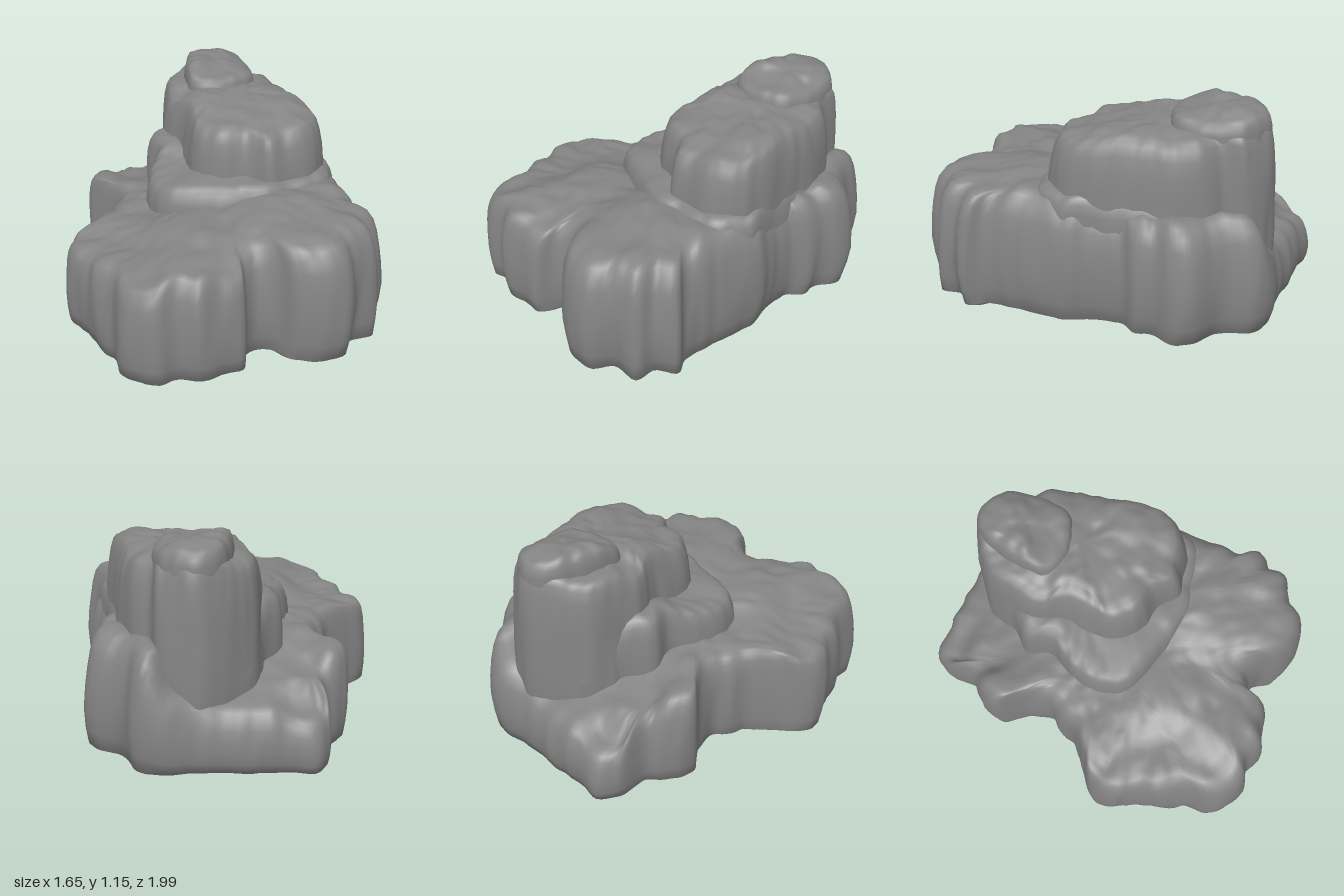
import * as THREE from 'three';

// Seeded smooth value noise, -1..1
function hash(x, y, z) {
  const s = Math.sin(x * 127.1 + y * 311.7 + z * 74.7) * 43758.5453;
  return (s - Math.floor(s)) * 2 - 1;
}
function noise(x, y, z) {
  const i = Math.floor(x), j = Math.floor(y), k = Math.floor(z);
  const f = (t) => t * t * (3 - 2 * t);
  const u = f(x - i), v = f(y - j), w = f(z - k);
  const mix = THREE.MathUtils.lerp;
  const row = (b, c) => mix(hash(i, b, c), hash(i + 1, b, c), u);
  return mix(mix(row(j, k), row(j + 1, k), v), mix(row(j, k + 1), row(j + 1, k + 1), v), w);
}

// Value blended from a few [x, z, value] spots
function blend(spots, x, z) {
  let sum = 0, total = 0;
  for (const [sx, sz, value] of spots) {
    const w = 1 / (((x - sx) ** 2 + (z - sz) ** 2) ** 1.6 + 1e-4);
    sum += w * value;
    total += w;
  }
  return sum / total;
}

// One rock tier: outline [x, z] seen from above, wall profile [height share, inset],
// weathered top, and spots saying how softly the upper edge is rounded
function rockTier(name, { outline, centre, spots, soft = [[0, 0, 1]], bottom, wall, sides, rough, topRings = 14 }) {
  const curve = new THREE.CatmullRomCurve3(
    outline.map(([x, z]) => new THREE.Vector3(x, 0, z)), true, 'centripetal');
  const rim = curve.getSpacedPoints(sides).slice(0, sides);
  const [cx, cz] = centre;
  const pos = [], index = [];
  const topInset = wall[wall.length - 1][1];

  // point on the ray from the centre to the rim, with vertical grooves
  const place = (p, inset, scale, y) => {
    const dx = p.x - cx, dz = p.z - cz, r = Math.hypot(dx, dz);
    const groove = rough * (noise(p.x * 8, y * 2, p.z * 8) + 0.5 * noise(p.x * 19, y * 4, p.z * 19));
    const s = (1 - (inset * blend(soft, p.x, p.z) - groove) / r) * scale;
    return [cx + dx * s, cz + dz * s];
  };
  const top = (x, z) => blend(spots, x, z)
    + 0.012 * noise(x * 7, 3, z * 11) + 0.008 * noise(x * 17, 9, z * 21);

  // underside
  for (const s of [0, 0.35, 0.7, 0.95]) {
    for (const p of rim) {
      const [x, z] = place(p, wall[0][1], s, bottom);
      pos.push(x, bottom + 0.025 * s ** 4 + 0.006 * s * noise(x * 4, 0, z * 4), z);
    }
  }
  // walls
  for (const [share, inset] of wall) {
    for (const p of rim) {
      const [ex, ez] = place(p, topInset, 1, 0.9);
      const y = THREE.MathUtils.lerp(bottom + 0.035, top(ex, ez), share);
      const [x, z] = place(p, inset, 1, y);
      pos.push(x, y, z);
    }
  }
  // top surface
  for (let k = 1; k <= topRings; k++) {
    for (const p of rim) {
      const [x, z] = place(p, topInset, 1 - k / topRings, 0.9);
      pos.push(x, top(x, z) + 0.01 * Math.min(1, k / 3), z);
    }
  }
  const rings = pos.length / 3 / sides;
  for (let j = 0; j < rings - 1; j++) {
    for (let i = 0; i < sides; i++) {
      const a = j * sides + i, b = j * sides + (i + 1) % sides;
      const c = a + sides, d = b + sides;
      if (j > 0) index.push(a, c, b);
      if (j < rings - 2) index.push(b, c, d);
    }
  }
  const geo = new THREE.BufferGeometry();
  geo.setAttribute('position', new THREE.Float32BufferAttribute(pos, 3));
  geo.setIndex(index);
  geo.computeVertexNormals();
  const mesh = new THREE.Mesh(geo, new THREE.MeshStandardMaterial({ color: 0x848484 }));
  mesh.name = name;
  return mesh;
}

export function createModel() {
  const group = new THREE.Group();
  group.name = 'rockFormation';

  // Broad lobed base, low at the back left
  group.add(rockTier('baseRock', {
    outline: [
      [-0.47, -0.95], [-0.3, -0.95], [-0.12, -0.96], [0.1, -0.97], [0.3, -0.99], [0.42, -0.93], [0.47, -0.84],
      [0.55, -0.77], [0.66, -0.7], [0.69, -0.6], [0.66, -0.5], [0.68, -0.4], [0.64, -0.31], [0.66, -0.2],
      [0.72, -0.05], [0.74, 0.1], [0.75, 0.3], [0.76, 0.45], [0.82, 0.53], [0.74, 0.62], [0.74, 0.73],
      [0.61, 0.8], [0.55, 0.9], [0.42, 0.93], [0.28, 0.89], [0.2, 0.8], [0.1, 0.78], [0.04, 0.82],
      [0.01, 0.92], [-0.12, 0.96], [-0.22, 0.99], [-0.32, 0.96], [-0.42, 0.99], [-0.52, 0.95], [-0.6, 0.88],
      [-0.62, 0.73], [-0.7, 0.63], [-0.73, 0.5], [-0.82, 0.35], [-0.8, 0.22], [-0.7, 0.13], [-0.6, 0.02],
      [-0.57, -0.08], [-0.51, -0.18], [-0.53, -0.28], [-0.6, -0.37], [-0.66, -0.45], [-0.62, -0.57],
      [-0.54, -0.67], [-0.54, -0.85],
    ],
    centre: [-0.08, 0],
    spots: [
      [-0.28, 0.84, 0.59], [-0.73, 0.35, 0.5], [-0.58, 0.5, 0.52], [-0.5, 0.8, 0.53], [0.02, 0.85, 0.56],
      [0.3, 0.75, 0.66], [0.6, 0.6, 0.68], [0.68, 0.1, 0.7], [-0.2, 0.45, 0.62], [0.3, 0.4, 0.69],
      [-0.5, 0, 0.53], [-0.42, -0.18, 0.54], [-0.6, -0.45, 0.52], [-0.38, -0.62, 0.43],
      [-0.45, -0.85, 0.31], [-0.1, -0.88, 0.37], [0.15, -0.93, 0.42], [0.38, -0.83, 0.67],
      [0.6, -0.57, 0.66], [0.1, -0.2, 0.65],
    ],
    soft: [
      [-0.78, 0.3, 0.45], [-0.6, 0.85, 0.65], [-0.3, 0.95, 0.75], [0.4, 0.9, 1], [0.75, 0.5, 1], [0.72, 0, 1],
      [0.65, -0.55, 1], [0.35, -0.95, 1], [-0.2, -0.95, 0.9], [-0.55, -0.85, 0.8], [-0.62, -0.45, 0.6],
    ],
    bottom: 0.006, sides: 260, rough: 0.016, topRings: 20,
    wall: [[0, 0.025], [0.15, 0.008], [0.32, 0], [0.5, 0.006], [0.66, 0.018], [0.8, 0.037],
      [0.9, 0.062], [0.97, 0.1], [1, 0.15]],
  }));

  // Ledge wrapping the foot of the tower
  group.add(rockTier('middleLedge', {
    outline: [
      [0.1, -0.86], [0.37, -0.72], [0.55, -0.42], [0.61, -0.2], [0.67, 0], [0.62, 0.18], [0.4, 0.28],
      [0.2, 0.32], [-0.05, 0.27], [-0.24, 0.23], [-0.33, 0.1], [-0.34, -0.1], [-0.27, -0.28],
      [-0.31, -0.4], [-0.2, -0.58], [-0.14, -0.74],
    ],
    centre: [0.15, -0.25],
    spots: [[-0.05, 0.2, 0.73], [0.3, 0.25, 0.73], [0.6, 0, 0.73], [-0.3, 0, 0.7], [-0.25, -0.36, 0.79],
      [0.5, -0.4, 0.71], [0, -0.75, 0.62]],
    bottom: 0.3, sides: 160, rough: 0.014, topRings: 8,
    wall: [[0, -0.01], [0.5, -0.01], [0.75, 0], [0.88, 0.015], [0.96, 0.035], [1, 0.07]],
  }));

  // Tall tower
  group.add(rockTier('upperTower', {
    outline: [
      [0.08, -0.9], [0.2, -0.88], [0.3, -0.83], [0.34, -0.72], [0.43, -0.67], [0.51, -0.5], [0.57, -0.3],
      [0.62, -0.1], [0.6, 0.08], [0.52, 0.17], [0.39, 0.21], [0.28, 0.24], [0.18, 0.17], [0.02, 0.14],
      [-0.09, 0.07], [-0.13, -0.1], [-0.15, -0.25], [-0.21, -0.39], [-0.19, -0.65], [-0.09, -0.79],
    ],
    centre: [0.18, -0.32],
    spots: [[0.3, 0.16, 0.98], [0, 0.05, 0.99], [0.5, 0.08, 1.0], [0.4, -0.25, 1.03], [0, -0.3, 1.04],
      [-0.1, -0.6, 1.03], [0.43, -0.5, 1.03], [0.1, -0.82, 1.07], [-0.16, -0.38, 0.99]],
    soft: [[0.1, -0.9, 0.6], [-0.2, -0.5, 0.75], [0.5, 0.1, 1], [0, 0.15, 1], [0.55, -0.4, 1]],
    bottom: 0.2, sides: 180, rough: 0.013,
    wall: [[0, -0.02], [0.3, -0.015], [0.5, 0], [0.65, 0.005], [0.78, 0.018], [0.88, 0.035],
      [0.95, 0.055], [0.985, 0.08], [1, 0.12]],
  }));

  // Small stepped cap sinking into the summit
  group.add(rockTier('summitCap', {
    outline: [[-0.01, -0.81], [0.1, -0.87], [0.26, -0.81], [0.33, -0.64], [0.32, -0.44], [0.15, -0.35],
      [-0.04, -0.37], [-0.06, -0.6]],
    centre: [0.13, -0.6],
    spots: [[0, -0.6, 1.15], [0.15, -0.65, 1.14], [0.1, -0.8, 1.13], [0.28, -0.6, 1.09], [0.1, -0.42, 1.09]],
    bottom: 0.9, sides: 100, rough: 0.012, topRings: 8,
    wall: [[0, 0], [0.6, 0.005], [0.8, 0.015], [0.94, 0.03], [1, 0.06]],
  }));

  return group;
}
